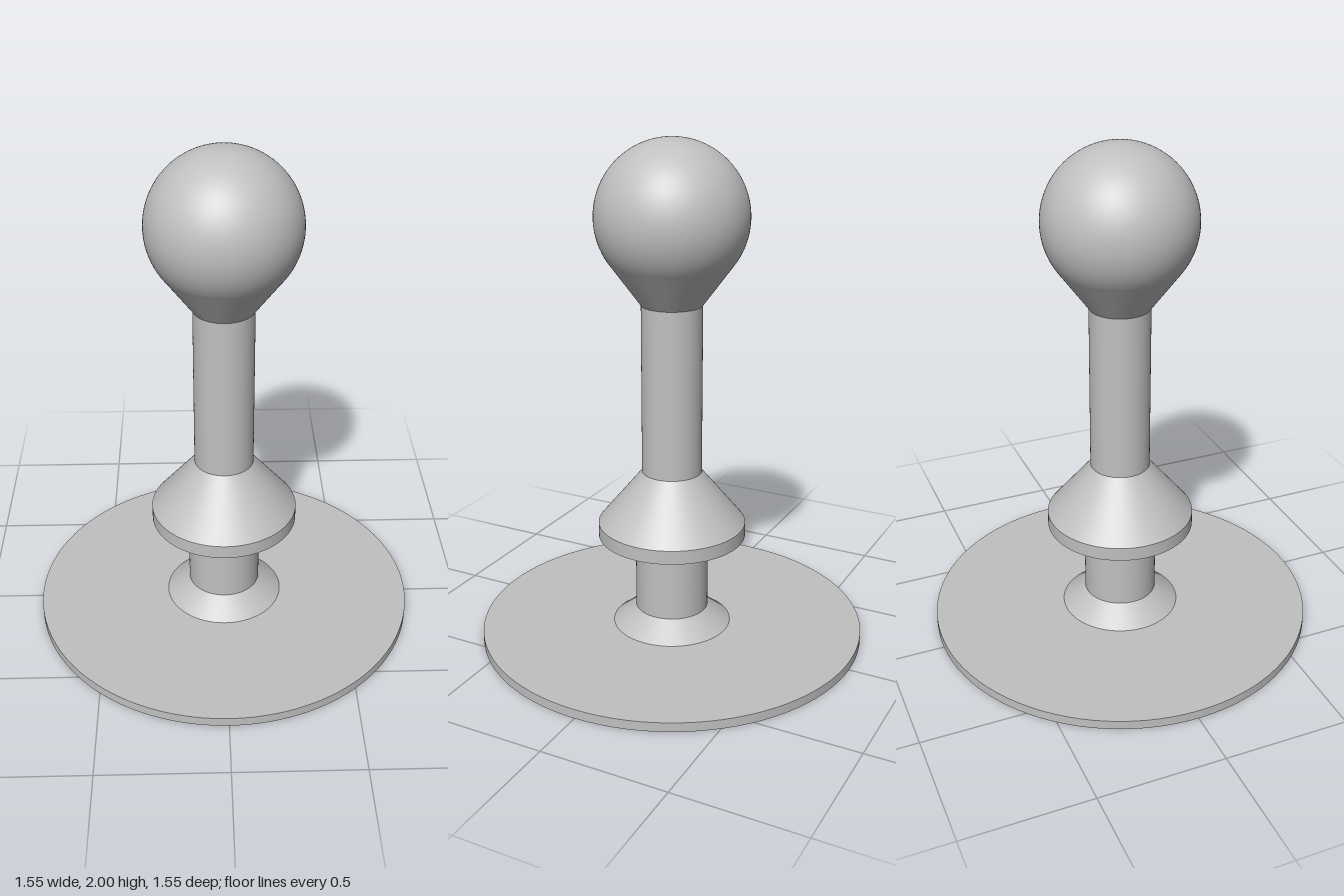
import * as THREE from 'three';
import { mergeGeometries } from 'three/addons/utils/BufferGeometryUtils.js';

const SEGMENTS = 96;

// Turns a [radius, height] profile, listed from bottom to top, with crisp edges at each corner
function turned(profile) {
  const bands = [];
  for (let i = 1; i < profile.length; i++) {
    const ends = [profile[i - 1], profile[i]].map(([r, y]) => new THREE.Vector2(r, y));
    bands.push(new THREE.LatheGeometry(ends, SEGMENTS));
  }
  return mergeGeometries(bands);
}

export function createModel() {
  const group = new THREE.Group();
  const grey = new THREE.MeshStandardMaterial({ color: 0xc0c0c0 });
  grey.name = 'plain grey';

  const add = (name, geometry, y = 0) => {
    const mesh = new THREE.Mesh(geometry, grey);
    mesh.name = name;
    mesh.position.y = y;
    group.add(mesh);
  };

  // Thin round foot with a central chamfered boss
  add('baseDisc', turned([[0, 0], [0.773, 0], [0.773, 0.037], [0.238, 0.037]]));
  add('baseFillet', turned([[0.238, 0.037], [0.146, 0.108]]));
  add('lowerStem', turned([[0.146, 0.108], [0.146, 0.422]]));

  // Collar with a flat underside and a sloped top
  add('collar', turned([[0.146, 0.422], [0.295, 0.422], [0.295, 0.478], [0.119, 0.693]]));
  add('upperStem', turned([[0.119, 0.693], [0.119, 1.37]]));

  // Flared neck meeting the ball at a tangent
  add('ballNeck', turned([[0.119, 1.37], [0.237, 1.53]]));
  add('ball', new THREE.SphereGeometry(0.295, SEGMENTS, 48), 1.705);

  return group;
}
